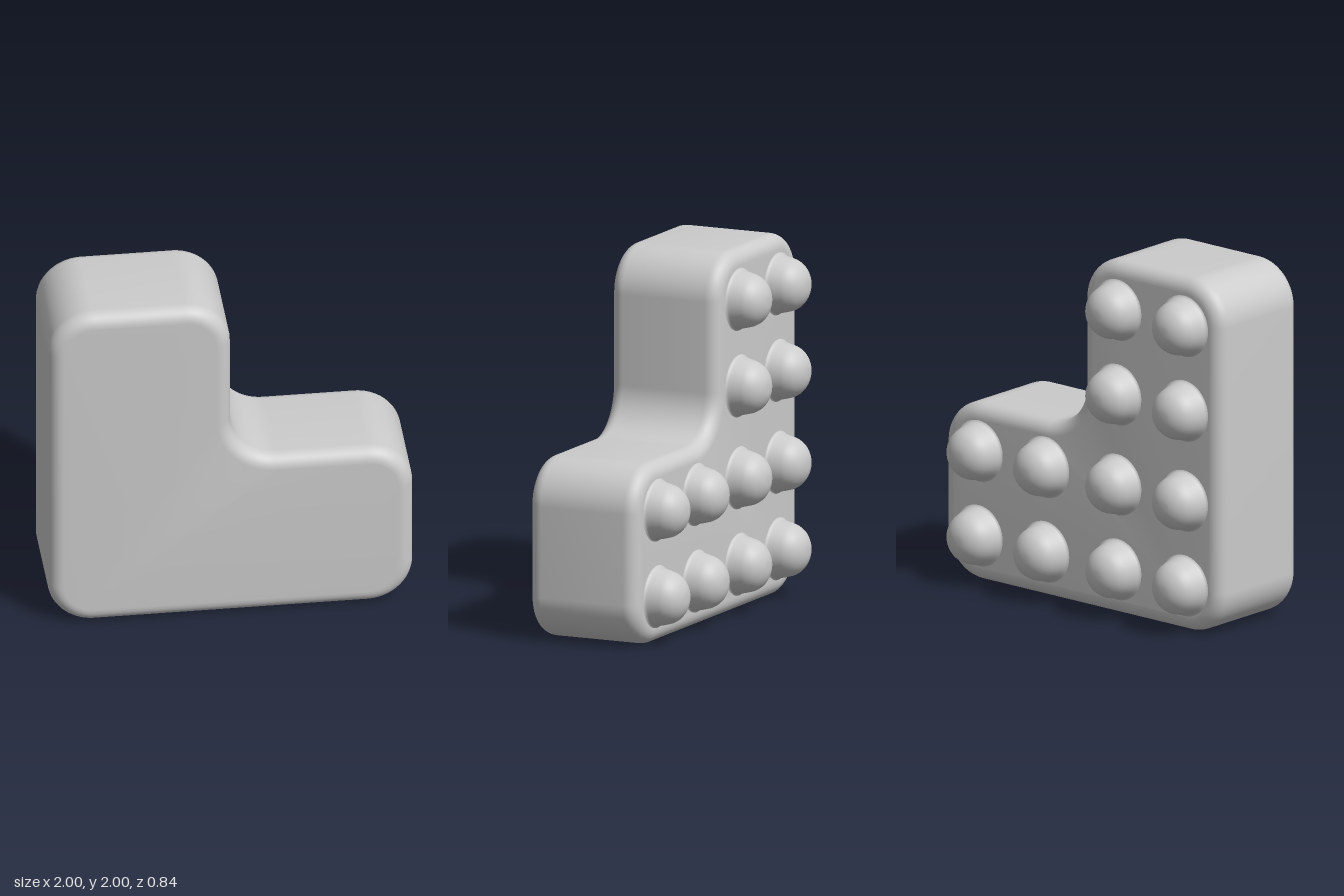
import * as THREE from 'three';
import { toCreasedNormals } from 'three/addons/utils/BufferGeometryUtils.js';

const BEVEL = 0.08, RADIUS = 0.25, BACK = -0.24, FRONT = 0.42;

// L outline with rounded corners, inset by the bevel that the extrusion adds back
function outline() {
  const b = BEVEL, r = RADIUS - b, R = RADIUS + b, q = Math.PI / 2;
  const s = new THREE.Shape();
  s.moveTo(-1 + RADIUS, b);
  s.absarc(1 - RADIUS, RADIUS, r, -q, 0);
  s.absarc(1 - RADIUS, 1 - RADIUS, r, 0, q);
  s.absarc(RADIUS, 1 + RADIUS, R, -q, -2 * q, true); // inner corner
  s.absarc(-RADIUS, 2 - RADIUS, r, 0, q);
  s.absarc(-1 + RADIUS, 2 - RADIUS, r, q, 2 * q);
  s.absarc(-1 + RADIUS, RADIUS, r, 2 * q, 3 * q);
  return s;
}

export function createModel() {
  const group = new THREE.Group();
  group.name = 'lShapedBlock';
  const material = new THREE.MeshStandardMaterial({ color: 0xcccccc });

  // Pillow-edged L body
  const bodyGeometry = new THREE.ExtrudeGeometry(outline(), {
    depth: FRONT - BACK - 2 * BEVEL,
    bevelSize: BEVEL,
    bevelThickness: BEVEL,
    bevelSegments: 8,
    curveSegments: 14,
  });
  bodyGeometry.translate(0, 0, BACK + BEVEL);
  const body = new THREE.Mesh(toCreasedNormals(bodyGeometry, 0.6), material);
  body.name = 'body';
  group.add(body);

  // Domed stud with a small fillet at its foot, pointing to the back
  const profile = new THREE.SplineCurve([
    [0.176, -0.002], [0.166, 0.006], [0.16, 0.02], [0.149, 0.065], [0.138, 0.1],
    [0.115, 0.135], [0.08, 0.162], [0.04, 0.177], [0, 0.18],
  ].map(([r, h]) => new THREE.Vector2(r, h))).getPoints(32);
  profile[profile.length - 1].x = 0;
  const studGeometry = new THREE.LatheGeometry(profile, 40);
  studGeometry.rotateX(-Math.PI / 2);

  // Two by two studs on each of the three cells of the L
  const studs = new THREE.Group();
  studs.name = 'studs';
  for (const [cx, cy] of [[-0.5, 0.5], [0.5, 0.5], [-0.5, 1.49]]) {
    for (const dx of [-0.24, 0.24]) {
      for (const dy of [-0.24, 0.24]) {
        const stud = new THREE.Mesh(studGeometry, material);
        stud.name = 'stud';
        stud.position.set(cx + dx, cy + dy, BACK);
        studs.add(stud);
      }
    }
  }
  group.add(studs);
  return group;
}
